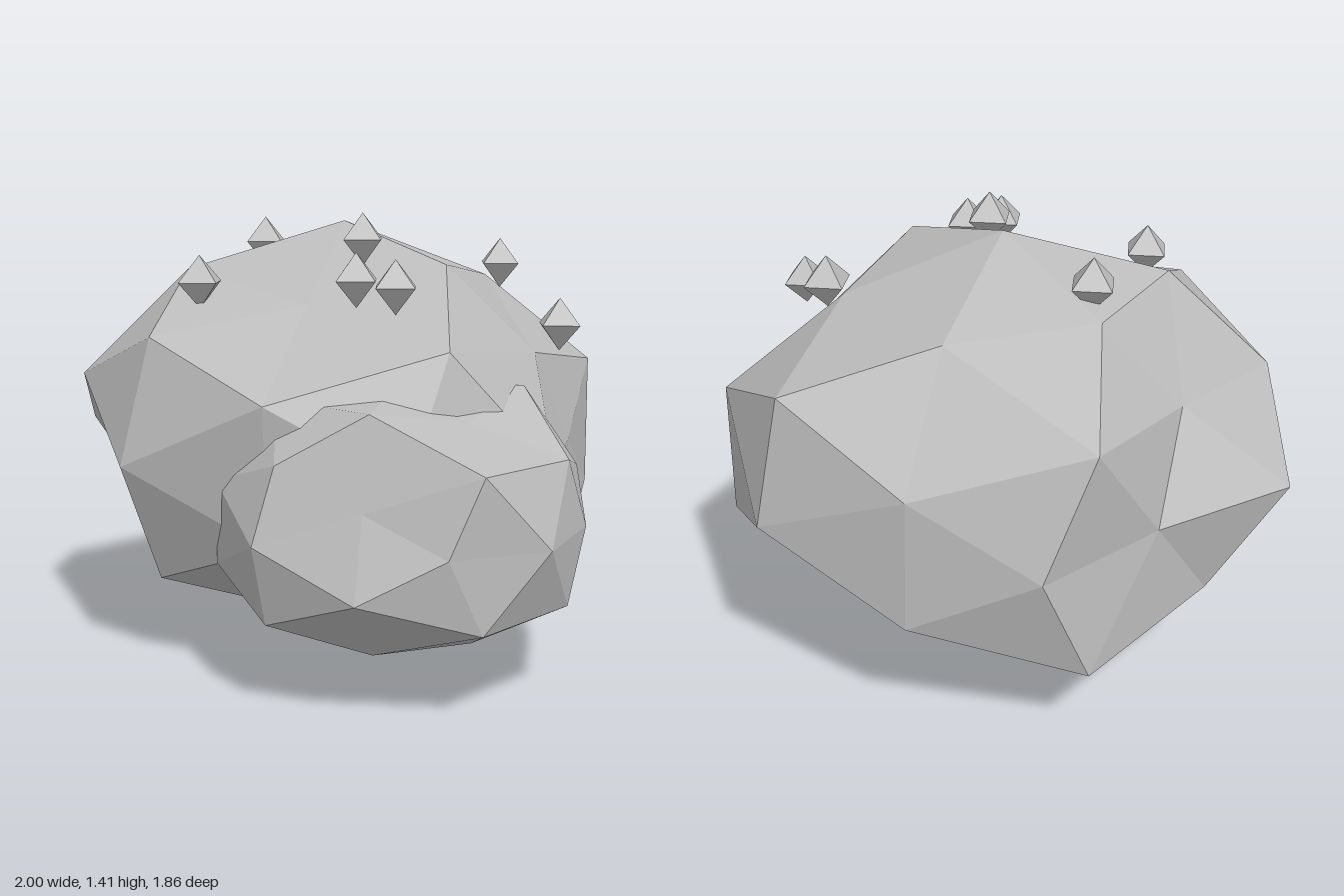
import * as THREE from 'three';

// Faceted boulder: a once-divided icosahedron whose corners are pushed in or out
// along their direction. Each dent is [x, y, z, radial factor].
function boulder(name, center, radii, dents, material) {
  const geo = new THREE.IcosahedronGeometry(1, 1);
  const pos = geo.attributes.position;
  const rules = dents.map(([x, y, z, f]) => ({ dir: new THREE.Vector3(x, y, z).normalize(), f }));
  const scale = new THREE.Vector3(...radii);
  const v = new THREE.Vector3();
  for (let i = 0; i < pos.count; i++) {
    v.fromBufferAttribute(pos, i).normalize();
    const hit = rules.find((r) => r.dir.dot(v) > 0.99);
    v.multiplyScalar(hit ? hit.f : 1).multiply(scale);
    pos.setXYZ(i, v.x, v.y, v.z);
  }
  geo.computeVertexNormals();
  const mesh = new THREE.Mesh(geo, material);
  mesh.name = name;
  mesh.position.set(...center);
  return mesh;
}

export function createModel() {
  const group = new THREE.Group();
  group.name = 'rockCluster';
  const stone = new THREE.MeshStandardMaterial({ color: 0xbcbcbc });
  stone.name = 'light stone grey';
  stone.flatShading = true;

  // Large boulder
  group.add(boulder('largeBoulder', [-0.18, 0.66, 0], [0.94, 0.72, 0.93], [
    // sides
    [-1, 0, 0, 0.79],
    [-0.85, 0, 0.53, 1.02],
    [-0.85, 0, -0.53, 0.94],
    [0.85, 0, -0.53, 0.83],
    // upper half
    [-0.81, 0.5, 0.31, 0.78],
    [-0.81, 0.5, -0.31, 1.03],
    [0.81, 0.5, 0.31, 1.02],
    [0.81, 0.5, -0.31, 0.85],
    [-0.53, 0.85, 0, 0.93],
    [0.53, 0.85, 0, 0.97],
    [0.31, 0.81, 0.5, 0.81],
    [0.31, 0.81, -0.5, 0.91],
    [-0.31, 0.81, 0.5, 0.97],
    [-0.31, 0.81, -0.5, 0.96],
    [-0.5, 0.31, -0.81, 0.93],
    [0, 0.53, 0.85, 1.025],
    [0, 0.53, -0.85, 1.06],
    // lower half
    [0, -1, 0, 0.915],
    [-0.81, -0.5, 0.31, 0.93],
    [-0.81, -0.5, -0.31, 1.03],
    [-0.5, -0.31, 0.81, 0.79],
    [-0.5, -0.31, -0.81, 0.95],
    [0.5, -0.31, 0.81, 0.96],
    [0, -0.53, -0.85, 0.8],
    [-0.31, -0.81, 0.5, 0.86],
    [0.31, -0.81, 0.5, 0.88],
    [0.31, -0.81, -0.5, 0.97],
    [-0.31, -0.81, -0.5, 0.64],
    [-0.53, -0.85, 0, 0.95],
    [0.53, -0.85, 0, 0.95],
  ], stone));

  // Small boulder leaning against its front left
  group.add(boulder('smallBoulder', [0.39, 0.51, 0.3], [0.61, 0.42, 0.58], [
    [0.85, 0, 0.53, 0.93],
    [0.85, 0, -0.53, 0.96],
    [0.81, 0.5, 0.31, 1.08],
    [0.81, 0.5, -0.31, 1.04],
    [0, 1, 0, 0.95],
    [0.53, 0.85, 0, 0.9],
    [0.31, 0.81, 0.5, 1.1],
    [0.31, 0.81, -0.5, 1.14],
    [-0.31, 0.81, 0.5, 1.08],
    [0.5, 0.31, 0.81, 0.84],
    [0.81, -0.5, 0.31, 1.07],
    [0.81, -0.5, -0.31, 1.05],
    [0, -0.53, 0.85, 1.08],
    [0.5, 0.31, -0.81, 1.02],
    [0.5, -0.31, -0.81, 1.05],
    [0.53, -0.85, 0, 0.96],
  ], stone));

  // Small crystals scattered over the top
  const crystalGeo = new THREE.OctahedronGeometry(0.085);
  const spots = [
    [-0.53, 1.3, 0.06], [-0.24, 1.2, 0.57], [0.05, 1.33, 0.13], [0.245, 1.22, 0.34],
    [0.34, 1.2, 0.265], [0.53, 1.06, -0.29], [0.12, 1.23, -0.46],
  ];
  spots.forEach((p, i) => {
    const crystal = new THREE.Mesh(crystalGeo, stone);
    crystal.name = `crystal${i + 1}`;
    crystal.position.set(...p);
    group.add(crystal);
  });
  return group;
}
